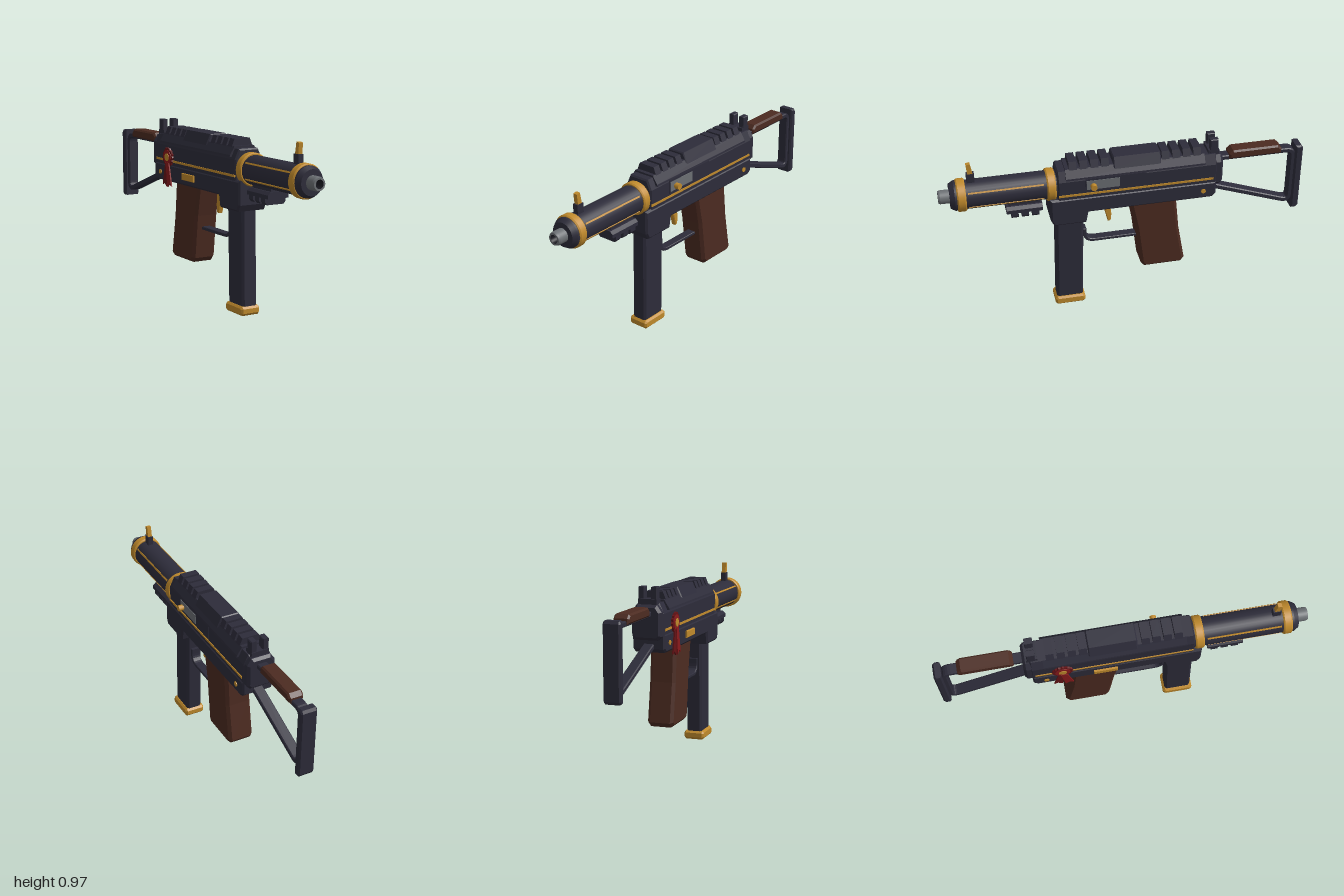
import * as THREE from 'three';

const mat = (name, color) => Object.assign(new THREE.MeshStandardMaterial({ color }), { name });

export function createModel() {
  const metal = mat('dark gunmetal', 0x2d2c3a);
  const gold = mat('brass', 0xc08a2c);
  const wood = mat('walnut', 0x4c2b21);
  const steel = mat('grey steel', 0x6c7074);
  const bore = mat('bore black', 0x1b1b22);
  const red = mat('ribbon red', 0x8a1a1c);
  const darkRed = mat('dark ribbon red', 0x651316);

  const model = new THREE.Group();
  model.name = 'submachineGun';
  const body = new THREE.Group();
  body.name = 'body';
  body.position.x = -0.012;
  model.add(body);

  const add = (name, geometry, material) => {
    const mesh = new THREE.Mesh(geometry, material);
    mesh.name = name;
    body.add(mesh);
    return mesh;
  };
  const toShape = (pts) => new THREE.Shape(pts.map(([a, b]) => new THREE.Vector2(a, b)));
  const extrude = (pts, width, bevel) => new THREE.ExtrudeGeometry(toShape(pts), {
    depth: width - 2 * bevel, bevelEnabled: bevel > 0, bevelThickness: bevel,
    bevelSize: bevel, bevelOffset: -bevel, bevelSegments: 1,
  }).translate(0, 0, bevel - width / 2);

  // Side outline in (z, y), extruded across x
  const side = (name, material, pts, width, bevel = 0, x = 0) =>
    add(name, extrude(pts, width, bevel).rotateY(-Math.PI / 2).translate(x, 0, 0), material);
  // Front outline in (x, y), mirrored in x, extruded along z
  const prism = (name, material, half, z0, z1, bevel = 0) => {
    const pts = [...half, ...half.map(([x, y]) => [-x, y]).reverse()];
    return add(name, extrude(pts, z1 - z0, bevel).translate(0, 0, (z0 + z1) / 2), material);
  };
  const box = (name, material, w, h, d, x, y, z) =>
    add(name, new THREE.BoxGeometry(w, h, d).translate(x, y, z), material);
  const rect = (z0, z1, y0, y1) => [[z0, y0], [z1, y0], [z1, y1], [z0, y1]];
  // Turned part along the barrel axis: [radius, z], back to front
  const AXIS = 0.784;
  const turned = (name, material, pts) => {
    const rings = [];
    for (let i = 0; i < pts.length - 1; i++) rings.push([pts[i], pts[i + 1]]);
    const group = new THREE.Group();
    group.name = name;
    rings.forEach((pair) => {
      const g = new THREE.LatheGeometry(pair.map(([r, z]) => new THREE.Vector2(r, z)), 32);
      group.add(new THREE.Mesh(g.rotateX(Math.PI / 2).translate(0, AXIS, 0), material));
    });
    body.add(group);
  };
  // Bent flat bar following a path in (z, y)
  const strip = (name, material, path, thick, width, bevel) => {
    const p = path.getPoints(6), a = [], b = [];
    p.forEach((q, i) => {
      const t = p[Math.min(i + 1, p.length - 1)].clone().sub(q).normalize()
        .add(q.clone().sub(p[Math.max(i - 1, 0)]).normalize()).normalize();
      a.push([q.x - t.y * thick / 2, q.y + t.x * thick / 2]);
      b.unshift([q.x + t.y * thick / 2, q.y - t.x * thick / 2]);
    });
    return side(name, material, [...a, ...b], width, bevel);
  };
  // Round stud pointing along x
  const stud = (name, material, r, len, x, y, z, n = 16) =>
    add(name, new THREE.CylinderGeometry(r, r, len, n).rotateZ(Math.PI / 2).translate(x, y, z), material);

  // Barrel
  turned('barrelShroud', metal, [[0.078, 0.34], [0.078, 0.88]]);
  turned('shroudCap', metal, [[0.081, 0.89], [0.081, 0.915], [0.066, 0.94], [0, 0.94]]);
  turned('muzzle', steel, [[0.037, 0.93], [0.037, 0.99], [0.033, 1], [0.023, 1]]);
  turned('bore', bore, [[0.023, 1], [0.021, 0.95], [0, 0.95]]);
  [0.405, 0.88].forEach((z) => turned('barrelRing', gold, [
    [0.075, z - 0.024], [0.084, z - 0.024], [0.089, z - 0.017],
    [0.089, z + 0.017], [0.084, z + 0.024], [0.075, z + 0.024]]));
  for (const sx of [-1, 1]) for (const sy of [-1, 1]) {
    const stripe = add('shroudStripe', new THREE.BoxGeometry(0.008, 0.009, 0.4), gold);
    const a = sy * 0.58;
    stripe.position.set(sx * 0.077 * Math.cos(a), AXIS + 0.077 * Math.sin(a), 0.645);
    stripe.rotation.z = sx * a;
  }

  // Receiver
  prism('upperReceiver', metal, [[0.083, 0.71], [0.083, 0.835], [0.058, 0.89]], -0.5, 0.375, 0.008);
  prism('rearCap', metal, [[0.06, 0.7], [0.08, 0.72], [0.08, 0.845], [0.055, 0.882]], -0.535, -0.48, 0.014);
  side('lowerReceiver', metal, [[0.418, 0.73], [0.418, 0.6], [0.4, 0.565], [0.225, 0.565], [0.212, 0.63],
    [-0.475, 0.63], [-0.497, 0.65], [-0.497, 0.73]], 0.176, 0.01);

  // Top cover with ridges at front and back
  prism('topCover', metal, [[0.09, 0.846], [0.088, 0.856], [0.06, 0.9]], -0.43, 0.33);
  const ridge = [[0.064, 0.895], [0.047, 0.937]];
  prism('coverBlock', metal, [[0.076, 0.88], [0.049, 0.938]], -0.19, 0.07, 0.006);
  for (let i = 0; i < 4; i++) {
    const z = 0.285 - i * 0.058;
    prism('frontRidge', metal, ridge, z - 0.018, z + 0.024);
    prism('rearRidge', metal, ridge, z - 0.522, z - 0.48);
  }

  // Sights
  for (const s of [-1, 1]) side('rearSightPost', metal, rect(-0.51, -0.465, 0.86, 0.972), 0.034, 0.004, s * 0.034);
  box('rearSightBase', metal, 0.1, 0.05, 0.06, 0, 0.885, -0.485);
  box('frontSightBase', metal, 0.03, 0.06, 0.042, 0, 0.882, 0.823);
  side('frontSight', gold, [[0.808, 0.905], [0.836, 0.905], [0.842, 0.968], [0.82, 0.972]], 0.024);

  // Ejection port and charging handle
  side('portRecess', metal, rect(-0.105, 0.225, 0.765, 0.843), 0.006, 0, 0.084);
  side('bolt', steel, rect(0.04, 0.22, 0.777, 0.832), 0.006, 0, 0.087);
  stud('handleNeck', gold, 0.011, 0.03, 0.097, 0.803, 0.185);
  stud('handleKnob', gold, 0.017, 0.026, 0.109, 0.803, 0.185, 12);

  // Trim on both sides
  for (const s of [-1, 1]) {
    box('receiverStripe', gold, 0.008, 0.012, 0.85, s * 0.083, 0.75, -0.055);
    stud('receiverPin', gold, 0.014, 0.012, s * 0.087, 0.678, -0.425, 8);
  }
  side('selectorPlate', gold, rect(-0.17, -0.04, 0.662, 0.7), 0.014, 0.003, -0.091);

  // Accessory rail under the barrel
  prism('underRail', metal, [[0.045, 0.7], [0.062, 0.685], [0.062, 0.665]], 0.455, 0.65);
  box('underRailMount', metal, 0.07, 0.05, 0.17, 0, 0.71, 0.55);
  for (let i = 0; i < 3; i++) {
    const z = 0.494 + i * 0.056;
    prism('underRailTooth', metal, [[0.062, 0.668], [0.062, 0.645], [0.05, 0.631]], z - 0.019, z + 0.019);
  }

  // Magazine
  side('magazine', metal, [[0.385, 0.58], [0.394, 0.04], [0.246, 0.04], [0.232, 0.58]], 0.09, 0.012);
  side('magazineBase', gold, [[0.393, 0], [0.405, 0.013], [0.405, 0.038], [0.393, 0.05],
    [0.247, 0.05], [0.235, 0.038], [0.235, 0.013], [0.247, 0]], 0.116, 0.01);

  // Trigger and guard
  const guard = new THREE.Path();
  guard.moveTo(0.225, 0.48).lineTo(0.225, 0.45).quadraticCurveTo(0.225, 0.398, 0.17, 0.398).lineTo(-0.08, 0.398);
  strip('triggerGuard', metal, guard, 0.018, 0.05, 0.003);
  side('trigger', gold, [[0.115, 0.64], [0.108, 0.57], [0.092, 0.505], [0.077, 0.508],
    [0.072, 0.55], [0.082, 0.64]], 0.03, 0.004);

  // Pistol grip
  side('grip', wood, [[-0.02, 0.65], [-0.055, 0.47], [-0.085, 0.225], [-0.105, 0.2], [-0.315, 0.2],
    [-0.335, 0.225], [-0.298, 0.44], [-0.278, 0.65]], 0.144, 0.016);

  // Folding stock
  const frame = new THREE.Path();
  frame.moveTo(-0.5, 0.835).lineTo(-0.91, 0.835).quadraticCurveTo(-0.95, 0.835, -0.95, 0.795)
    .lineTo(-0.95, 0.55).quadraticCurveTo(-0.95, 0.497, -0.9, 0.516).lineTo(-0.47, 0.672);
  strip('stockFrame', metal, frame, 0.028, 0.058, 0.005);
  side('buttPad', metal, [[-0.958, 0.46], [-0.99, 0.46], [-1, 0.475], [-1, 0.85], [-0.99, 0.865], [-0.958, 0.865]], 0.09, 0.008);
  side('cheekRest', wood, [[-0.58, 0.83], [-0.58, 0.86], [-0.6, 0.88], [-0.855, 0.88], [-0.876, 0.86], [-0.876, 0.83]], 0.082, 0.009);

  // Rosette with two ribbons on the right side
  const RZ = -0.335, RY = 0.77;
  const pleats = [];
  for (let i = 0; i < 32; i++) {
    const a = i * Math.PI / 16, r = i % 2 ? 0.05 : 0.056;
    pleats.push([RZ + r * Math.cos(a), RY + r * Math.sin(a)]);
  }
  side('rosette', darkRed, pleats, 0.012, 0, -0.088);
  stud('rosetteRing', red, 0.041, 0.01, -0.092, RY, RZ, 24);
  stud('rosetteCentre', gold, 0.022, 0.012, -0.094, RY, RZ, 20);
  for (const s of [-1, 1]) side('ribbon', s > 0 ? red : darkRed, [
    [RZ + s * 0.022, RY - 0.03], [RZ - s * 0.012, RY - 0.03], [RZ + s * 0.008, 0.6],
    [RZ + s * 0.032, 0.622], [RZ + s * 0.053, 0.608]], 0.008, 0, -0.094 - s * 0.002);

  return model;
}
